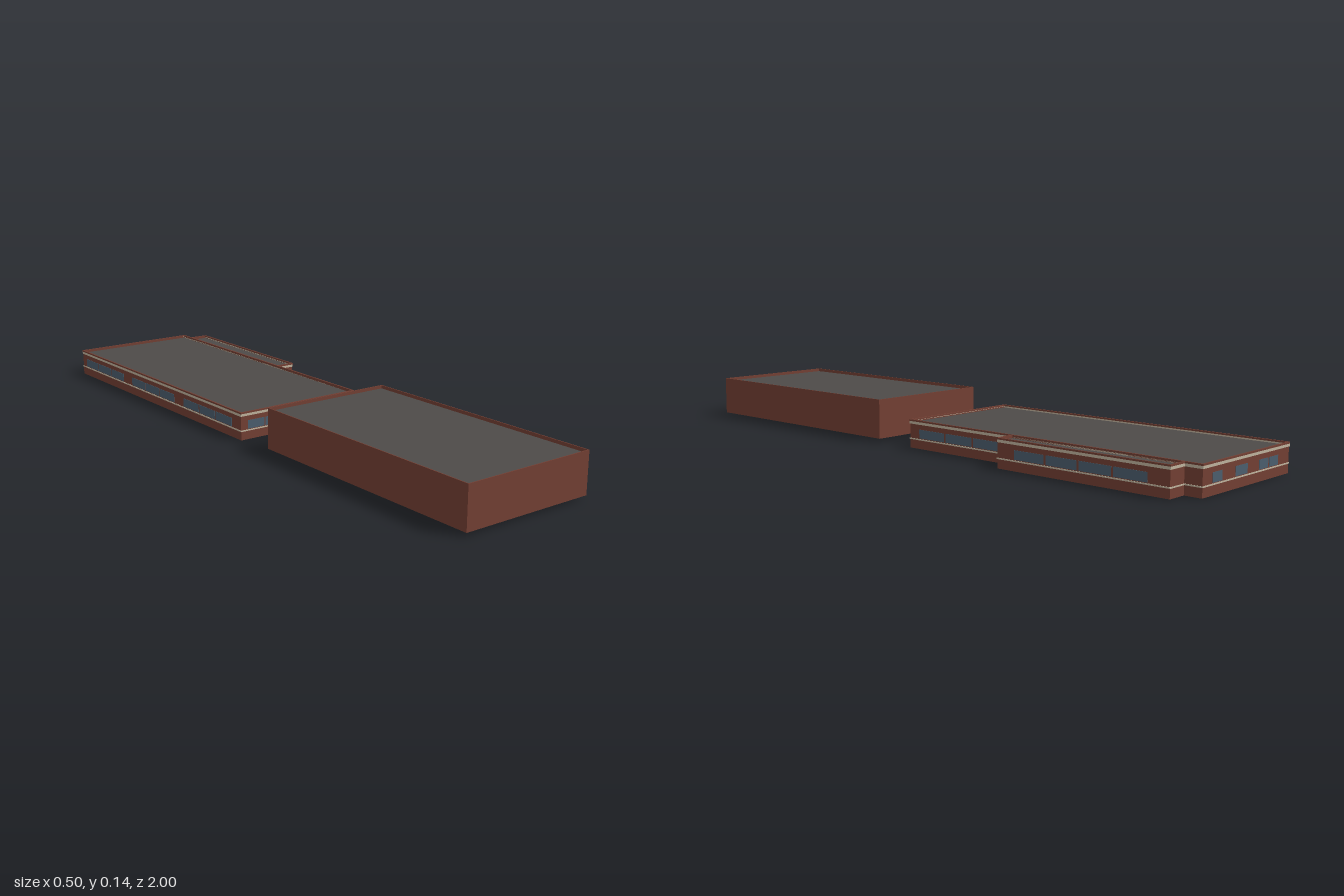
import * as THREE from 'three';

const material = (name, color) => {
  const m = new THREE.MeshStandardMaterial({ color, side: THREE.DoubleSide });
  m.name = name;
  return m;
};

export function createModel() {
  const brick = material('brick', 0x733f33);
  const roofing = material('roofing', 0x4e4a48);
  const stone = material('pale stone', 0xbfb39d);
  const glass = material('window glass', 0x4b5e6e);
  const model = new THREE.Group();
  model.name = 'brickBuildings';

  const box = (parent, name, mat, x0, x1, y0, y1, z0, z1) => {
    const mesh = new THREE.Mesh(new THREE.BoxGeometry(x1 - x0, y1 - y0, z1 - z0), mat);
    mesh.position.set((x0 + x1) / 2, (y0 + y1) / 2, (z0 + z1) / 2);
    mesh.name = name;
    parent.add(mesh);
  };

  // Rectangular ring of walls or trim; grow pushes its outer face outwards
  const rect = (Type, x0, x1, z0, z1) => {
    const s = new Type();
    s.moveTo(x0, -z1).lineTo(x1, -z1).lineTo(x1, -z0).lineTo(x0, -z0).closePath();
    return s;
  };
  const ring = (parent, name, mat, [x0, x1, z0, z1], y0, y1, grow = 0) => {
    const t = 0.003;
    const s = rect(THREE.Shape, x0 - grow, x1 + grow, z0 - grow, z1 + grow);
    s.holes.push(rect(THREE.Path, x0 + t, x1 - t, z0 + t, z1 - t));
    const geo = new THREE.ExtrudeGeometry(s, { depth: y1 - y0, bevelEnabled: false });
    geo.rotateX(-Math.PI / 2);
    const mesh = new THREE.Mesh(geo, mat);
    mesh.position.y = y0;
    mesh.name = name;
    parent.add(mesh);
  };

  // Open-bottomed block with a flat roof sunk behind its parapet
  const block = (name, area, y0, y1, sink, trimmed) => {
    const g = new THREE.Group();
    g.name = name;
    model.add(g);
    const [x0, x1, z0, z1] = area;
    ring(g, 'walls', brick, area, y0, y1);
    box(g, 'roof', roofing, x0 + 0.002, x1 - 0.002, y1 - sink - 0.002, y1 - sink, z0 + 0.002, z1 - 0.002);
    if (trimmed) {
      ring(g, 'sillBand', stone, area, 0.027, 0.031, 0.0015);
      ring(g, 'corniceBand', stone, area, 0.075, 0.083, 0.0015);
      ring(g, 'coping', brick, area, 0.083, 0.088, 0.002);
    }
    return g;
  };

  const L = -0.25, R = 0.186, W = 0.249;
  block('tallHall', [L, R, 0.18, 1], 0.01, 0.135, 0.01, false);
  const low = block('lowBuilding', [L, R, -0.998, 0.04], 0, 0.087, 0.008, true);
  const wing = block('sideWing', [R, W, -0.945, -0.375], 0, 0.087, 0.008, true);

  // Windows: thin panes just proud of the walls
  const w0 = 0.033, w1 = 0.06, d = 0.001;
  const sidePane = (parent, x, za, zb) =>
    box(parent, 'window', glass, x - d, x + d, w0, w1, za, zb);
  const endPane = (z, xa, xb) => box(low, 'window', glass, xa, xb, w0, w1, z - d, z + d);

  for (let i = 0; i < 3; i++) sidePane(low, R, -0.105 - i * 0.112, -i * 0.112);
  for (let i = 0; i < 4; i++) sidePane(wing, W, -0.542 - i * 0.112, -0.437 - i * 0.112);
  for (const start of [-0.01, -0.35, -0.69])
    for (let i = 0; i < 3; i++) sidePane(low, L, start - 0.09 - i * 0.095, start - i * 0.095);
  for (const [a, b] of [[0.095, 0.14], [-0.03, 0.03], [-0.137, -0.09], [-0.19, -0.143]])
    endPane(-0.998, a, b);
  for (const [a, b] of [[0.035, 0.095], [0.1, 0.16], [-0.16, -0.1], [-0.225, -0.165]])
    endPane(0.04, a, b);

  // Entrance: glazed doors under a small canopy on slim posts
  const entrance = new THREE.Group();
  entrance.name = 'entrance';
  model.add(entrance);
  for (const x of [-0.055, -0.034])
    box(entrance, 'door', glass, x, x + 0.019, 0.012, 0.053, 0.039, 0.043);
  box(entrance, 'canopy', stone, -0.074, 0.004, 0.056, 0.059, 0.04, 0.075);
  for (const x of [-0.072, 0])
    box(entrance, 'canopyPost', stone, x, x + 0.002, 0.013, 0.056, 0.072, 0.074);

  return model;
}
